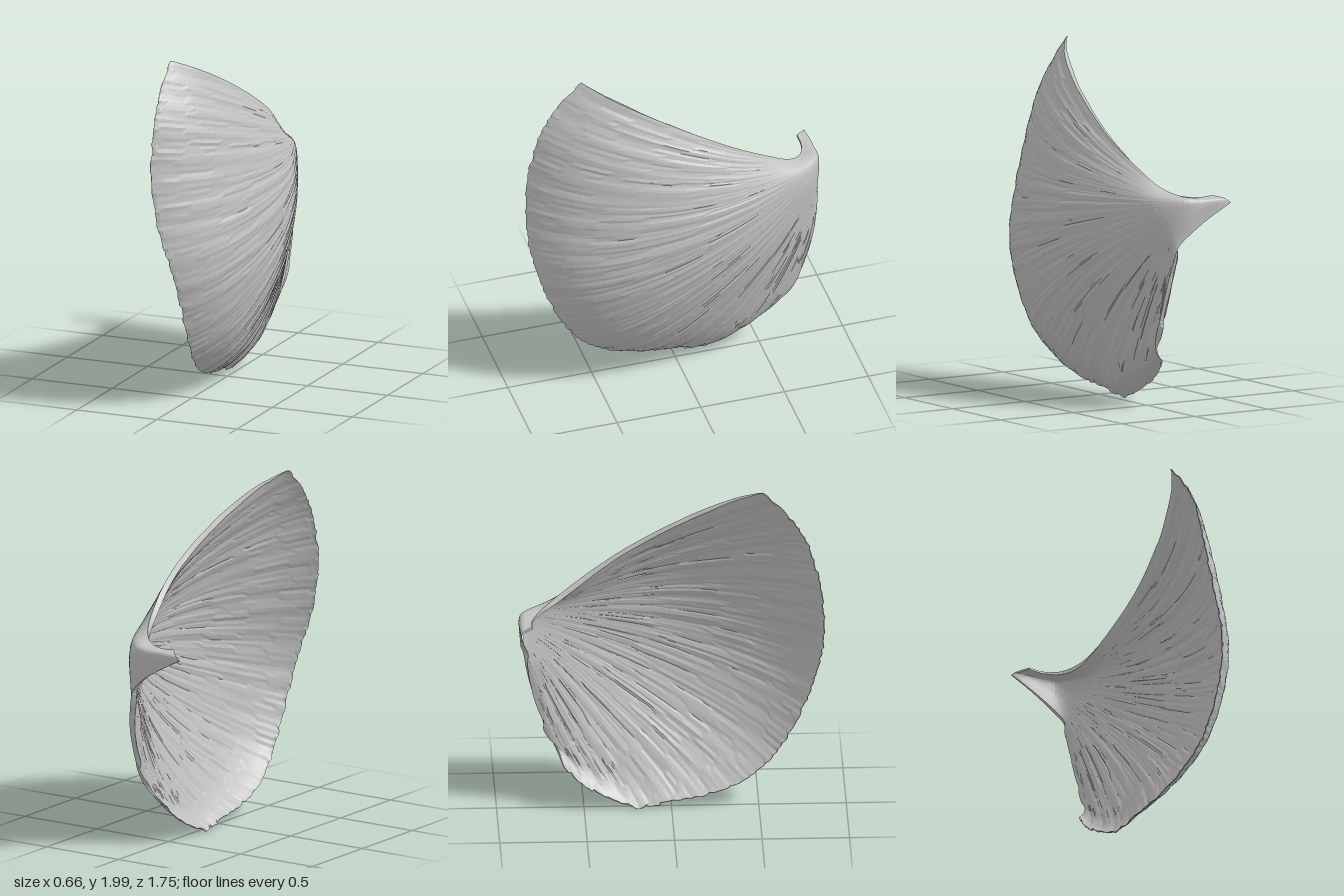
import * as THREE from 'three';

const NT = 150; // steps across the fan
const NS = 52;  // steps from beak to rim
const V = (x, y, z) => new THREE.Vector3(x, y, z);
const curve = (pts) => new THREE.CatmullRomCurve3(pts.map((p) => V(...p)));

// Repeatable noise in the range -1..1
const hash = (a, b) => {
  const n = Math.sin(a * 127.1 + b * 311.7) * 43758.5453;
  return (n - Math.floor(n)) * 2 - 1;
};

// Cross-sections, each running from the upper edge to the lower edge
const tip = curve([[-0.25, 1.236, -0.805], [-0.3, 1.22, -0.86], [-0.33, 1.195, -0.872]]);
const beak = curve([[-0.15, 1.232, -0.8], [-0.16, 1.222, -0.868], [-0.19, 1.118, -0.867]]);
const hinge = curve([[-0.05, 1.245, -0.755], [-0.04, 1.23, -0.86], [-0.03, 1.15, -0.868], [-0.07, 1.04, -0.865]]);
const shoulder = curve([[0.025, 1.29, -0.67], [0.085, 1.235, -0.73], [0.08, 1.16, -0.775], [0.045, 1.06, -0.82], [0.01, 0.96, -0.846]]);
const rim = curve([
  [-0.125, 2, 0.53], [-0.125, 1.85, 0.67], [-0.118, 1.7, 0.77], [-0.102, 1.4, 0.855], [-0.05, 1.1, 0.88],
  [0.02, 0.85, 0.85], [0.05, 0.6, 0.77], [0.038, 0.3, 0.6], [0.0, 0.14, 0.4], [-0.02, 0.07, 0.2],
  [-0.03, 0.04, 0], [-0.045, 0.01, -0.2], [-0.045, 0.08, -0.38], [-0.045, 0.17, -0.52], [-0.03, 0.27, -0.62],
]);

// Shallow dome that carries the fan
const dome = (y, z) => 0.307 - 0.43 * (z - 0.05) ** 2 - 0.37 * (y - 1) ** 2;

// Point on the fan at u (0 shoulder, 1 rim) along the ray t
function fanPoint(a, b, t, u) {
  const bow = 4 * u * (1 - u);
  const y = a.y + (b.y - a.y) * u + 0.025 * bow * (1 - t) ** 6;
  const z = a.z + (b.z - a.z) * u - 0.035 * bow * t ** 4;
  const fullness = (0.04 - 0.015 * (1 - t) ** 8) * 17.6 * u ** 6 * (1 - u); // rounder turn near the rim
  const edges = bow * (0.085 * t ** 8 - 0.025 * (1 - t) ** 8);              // waves of the two side edges
  const x = dome(y, z) + (a.x - dome(a.y, a.z)) * (1 - u) ** 3 + (b.x - dome(b.y, b.z)) * u ** 3
    + fullness + edges;
  return V(x, y, z);
}

// Grid of points for the outer face, with fine radial ridges and a ragged rim
function outerPoints() {
  const rows = [];
  for (let j = 0; j <= NT; j++) {
    const t = j / NT;
    const a = shoulder.getPoint(t);
    const b = rim.getPointAt(t);
    const ray = new THREE.CatmullRomCurve3([
      tip.getPoint(t), beak.getPoint(t), hinge.getPoint(t), a,
      ...[0.12, 0.28, 0.46, 0.64, 0.76, 0.87, 0.95, 1].map((u) => fanPoint(a, b, t, u)),
    ], false, 'centripetal');
    const row = [];
    for (let i = 0; i <= NS; i++) {
      const s = i / NS;
      const p = ray.getPoint(s);
      const grow = THREE.MathUtils.smoothstep(s, 0.22, 0.6);
      const streak = hash(j, Math.floor((i + 5 * hash(j, 7)) / 6));
      p.x += grow * (0.003 * streak + 0.002 * Math.sin(t * 130 + 3 * s));
      if (i === NS) {
        const rag = (t > 0.8 ? 0.014 : 0.006) * hash(j, 91);
        p.addScaledVector(b.clone().sub(a).normalize(), rag - 0.004);
        p.y = Math.max(p.y, 0);
      }
      row.push(p);
    }
    rows.push(row);
  }
  return rows.flat();
}

const at = (j, i) => j * (NS + 1) + i;

function makeGeometry(points, index) {
  const g = new THREE.BufferGeometry().setFromPoints(points);
  g.setIndex(index);
  g.computeVertexNormals();
  return g;
}

function gridIndex(flip) {
  const index = [];
  for (let j = 0; j < NT; j++) {
    for (let i = 0; i < NS; i++) {
      const [a, b, c, d] = [at(j, i), at(j, i + 1), at(j + 1, i + 1), at(j + 1, i)];
      if (flip) index.push(a, c, b, a, d, c);
      else index.push(a, b, c, a, c, d);
    }
  }
  return index;
}

export function createModel() {
  const group = new THREE.Group();
  group.name = 'fanShell';
  const grey = new THREE.MeshStandardMaterial({ color: 0xc0c0c0, flatShading: true });
  grey.name = 'shellGrey';
  const add = (name, geometry) => {
    const mesh = new THREE.Mesh(geometry, grey);
    mesh.name = name;
    group.add(mesh);
  };

  // Outer face
  const outer = outerPoints();
  const outerGeometry = makeGeometry(outer, gridIndex(false));
  add('outerFace', outerGeometry);

  // Inner face, set back along the normals and thinning towards the rim
  const normals = outerGeometry.attributes.normal;
  const inner = outer.map((p, k) => {
    const s = (k % (NS + 1)) / NS;
    const thick = 0.012 + 0.022 * THREE.MathUtils.smoothstep(s, 0.05, 0.35);
    const taper = 1 - 0.85 * THREE.MathUtils.smoothstep(s, 0.7, 1);
    return p.clone().addScaledVector(V().fromBufferAttribute(normals, k), -thick * taper);
  });
  inner.forEach((p) => { p.y = Math.max(p.y, 0); });
  add('innerFace', makeGeometry(inner, gridIndex(true)));

  // Edge wall joining both faces all the way round
  const loop = [];
  for (let i = 0; i < NS; i++) loop.push(at(0, i));
  for (let j = 0; j < NT; j++) loop.push(at(j, NS));
  for (let i = NS; i > 0; i--) loop.push(at(NT, i));
  for (let j = NT; j > 0; j--) loop.push(at(j, 0));
  const n = loop.length;
  const wall = [...loop.map((k) => outer[k]), ...loop.map((k) => inner[k])];
  const wallIndex = [];
  for (let k = 0; k < n; k++) {
    const q = (k + 1) % n;
    wallIndex.push(q, k, n + k, q, n + k, n + q);
  }
  add('edgeWall', makeGeometry(wall, wallIndex));

  return group;
}
